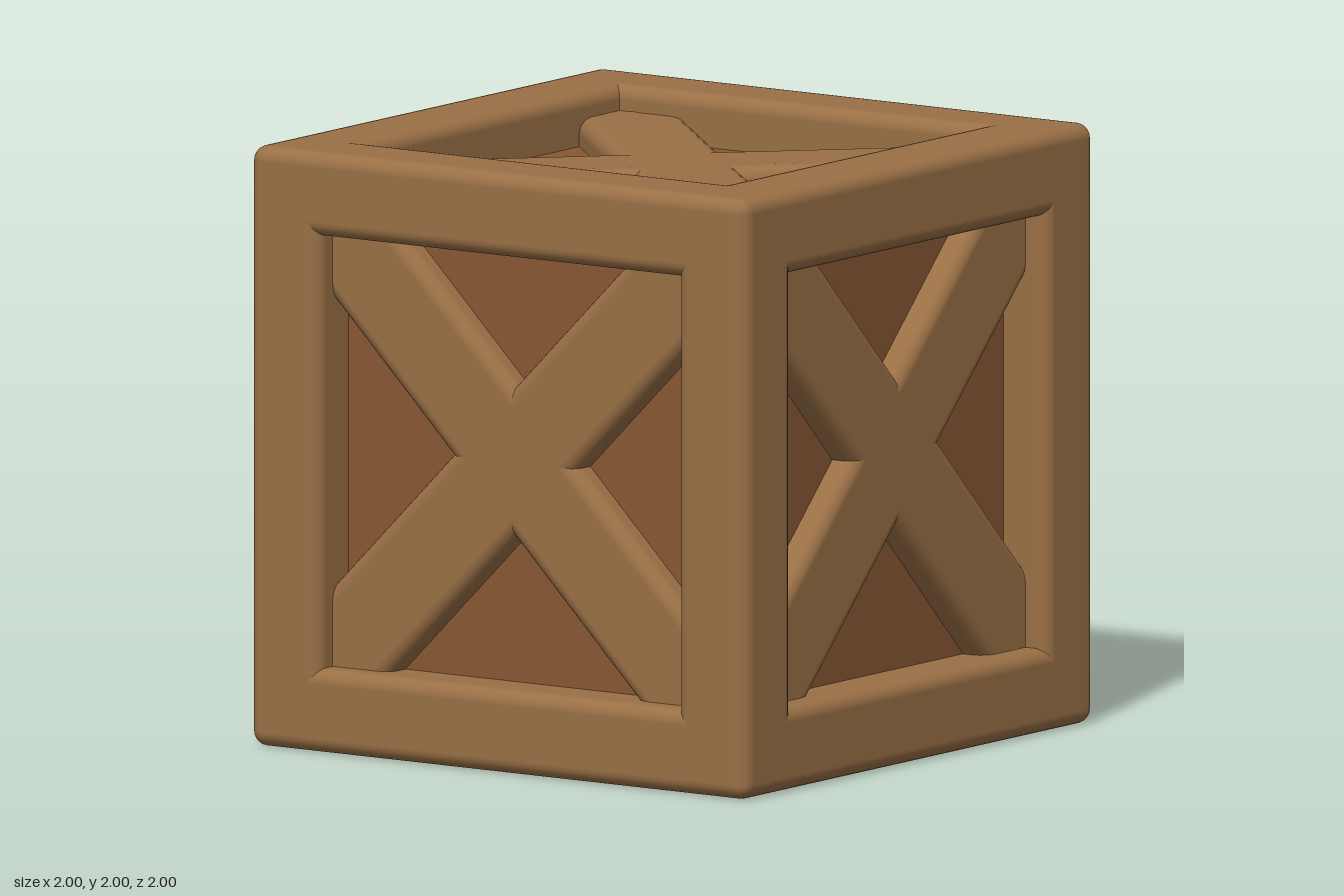
import * as THREE from 'three';
import { RoundedBoxGeometry } from 'three/addons/geometries/RoundedBoxGeometry.js';

export function createModel() {
  const crate = new THREE.Group();
  crate.name = 'crate';
  const frameWood = new THREE.MeshStandardMaterial({ color: 0x9a7046 });
  const panelWood = new THREE.MeshStandardMaterial({ color: 0x885734 });

  const BAR = 0.28; // frame bar thickness
  const PANEL = 0.825; // centre to panel surface
  const BRACE_TOP = 0.915; // centre to brace surface

  function add(parent, name, geometry, material) {
    const mesh = new THREE.Mesh(geometry, material);
    mesh.name = name;
    parent.add(mesh);
    return mesh;
  }

  // Everything is built around the cube's centre, then lifted onto the ground
  const body = new THREE.Group();
  body.name = 'body';
  body.position.y = 1;
  crate.add(body);

  // Inner box whose six sides are the recessed panels
  add(body, 'panels', new THREE.BoxGeometry(PANEL * 2, PANEL * 2, PANEL * 2), panelWood);

  // Twelve rounded frame bars, four along each axis
  const off = 1 - BAR / 2;
  for (const axis of ['x', 'y', 'z']) {
    const size = { x: BAR, y: BAR, z: BAR, [axis]: 2 };
    const geometry = new RoundedBoxGeometry(size.x, size.y, size.z, 3, 0.05);
    const [u, v] = ['x', 'y', 'z'].filter((a) => a !== axis);
    for (const su of [-1, 1]) {
      for (const sv of [-1, 1]) {
        const bar = add(body, 'frameBar', geometry, frameWood);
        bar.position[u] = su * off;
        bar.position[v] = sv * off;
      }
    }
  }

  // Two crossed braces per side, their ends buried in the frame
  const depth = 0.22;
  const braceGeometry = new RoundedBoxGeometry(2.24, 0.36, depth, 3, 0.05);
  function addCross(name, rx, ry, cx, cy) {
    const side = new THREE.Group();
    side.name = name;
    side.rotation.set(rx, ry, 0);
    for (const s of [-1, 1]) {
      const brace = add(side, 'brace', braceGeometry, frameWood);
      brace.position.set(cx, cy, BRACE_TOP - depth / 2);
      brace.rotation.z = (s * Math.PI) / 4;
    }
    body.add(side);
  }
  const q = Math.PI / 2;
  ['frontCross', 'leftCross', 'backCross', 'rightCross'].forEach((name, i) =>
    addCross(name, 0, i * q, 0, 0.025));
  addCross('topCross', -q, 0, 0.025, 0);
  addCross('bottomCross', q, 0, 0.025, 0);

  return crate;
}
